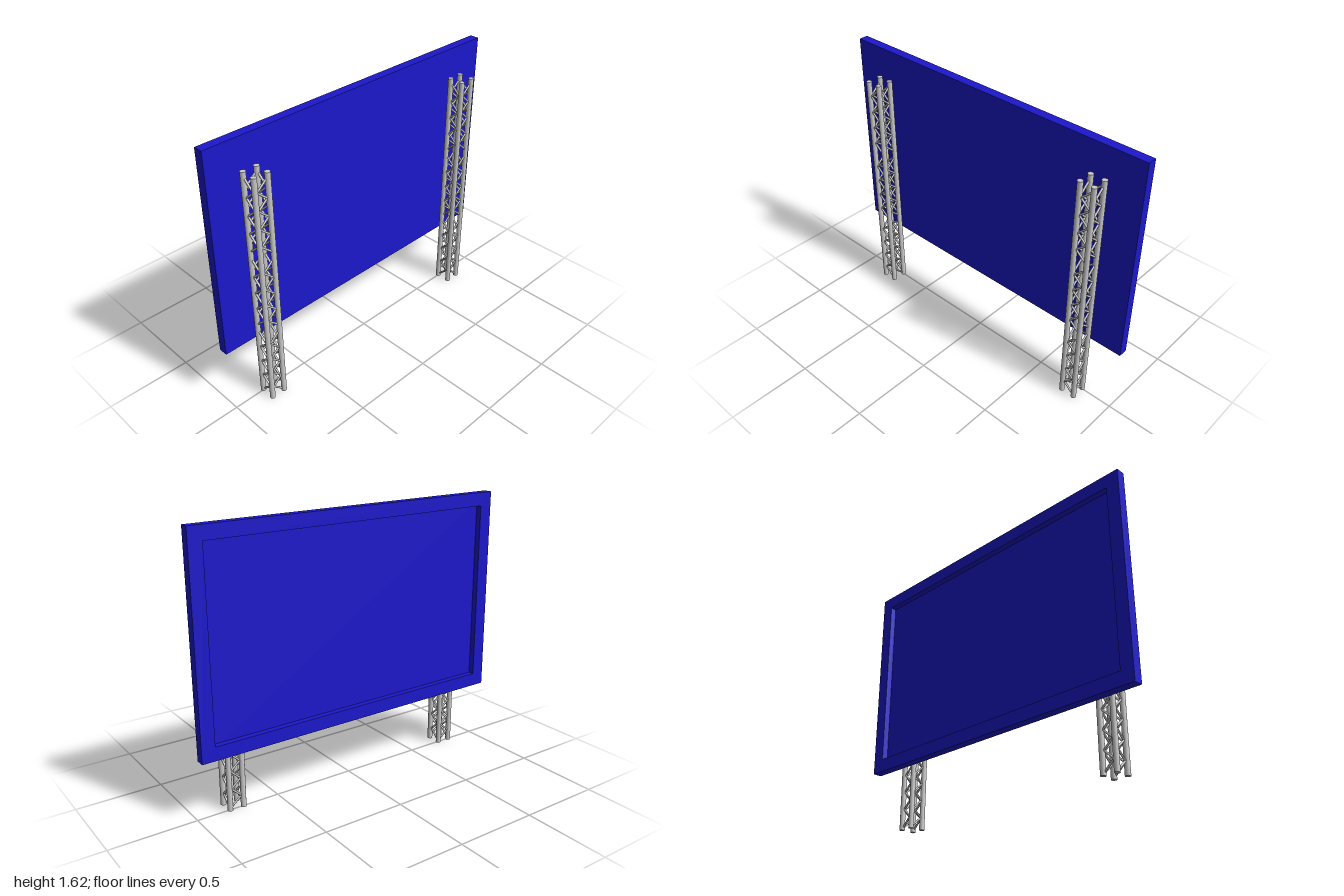
import * as THREE from 'three';

const metal = new THREE.MeshStandardMaterial({ color: 0xcccccc });
const blue = new THREE.MeshStandardMaterial({ color: 0x1c18cc });

const HALF = 0.0415;      // half spacing of the truss tubes
const TUBE_R = 0.0158;
const SEGMENT = 1.45 / 3; // each tower is three stacked truss sections

// Round bar between two points
function bar(name, a, b, radius, sides) {
  const dir = b.clone().sub(a);
  const mesh = new THREE.Mesh(new THREE.CylinderGeometry(radius, radius, dir.length(), sides), metal);
  mesh.name = name;
  mesh.position.copy(a).add(b).multiplyScalar(0.5);
  mesh.quaternion.setFromUnitVectors(new THREE.Vector3(0, 1, 0), dir.normalize());
  return mesh;
}

// One square truss section: four tubes and zigzag bracing on all four sides
function trussSection() {
  const section = new THREE.Group();
  section.name = 'trussSection';
  for (const x of [-HALF, HALF]) {
    for (const z of [-HALF, HALF]) {
      section.add(bar('trussTube', new THREE.Vector3(x, 0, z), new THREE.Vector3(x, SEGMENT, z), TUBE_R, 16));
    }
  }
  const steps = 8, start = 0.02, rise = 0.053, reach = HALF - 0.012;
  for (const side of [-HALF, HALF]) {
    for (let i = 0; i < steps; i++) {
      const s = i % 2 ? 1 : -1;
      const y0 = start + i * rise, y1 = y0 + rise;
      section.add(bar('braceAcross', new THREE.Vector3(s * reach, y0, side), new THREE.Vector3(-s * reach, y1, side), 0.006, 8));
      section.add(bar('braceAlong', new THREE.Vector3(side, y0, s * reach), new THREE.Vector3(side, y1, -s * reach), 0.006, 8));
    }
  }
  return section;
}

function rectangle(Path, w, h) {
  return new Path([[-w, -h], [w, -h], [w, h], [-w, h]].map(([x, y]) => new THREE.Vector2(x / 2, y / 2)));
}

// Screen panel with a raised border on its -x face
function panel() {
  const group = new THREE.Group();
  group.name = 'screenPanel';
  const w = 2, h = 1.24, border = 0.08, board = 0.019, rim = 0.036;

  const back = new THREE.Mesh(new THREE.BoxGeometry(board, h, w), blue);
  back.name = 'panelBoard';
  back.position.x = rim / 2;
  group.add(back);

  const shape = rectangle(THREE.Shape, w, h);
  shape.holes.push(rectangle(THREE.Path, w - 2 * border, h - 2 * border));
  const frame = new THREE.Mesh(new THREE.ExtrudeGeometry(shape, { depth: rim, bevelEnabled: false }), blue);
  frame.name = 'panelFrame';
  frame.rotation.y = -Math.PI / 2;
  frame.position.x = (rim - board) / 2;
  group.add(frame);

  // Hung very slightly out of true
  group.position.set(-0.066, 0.995, 0);
  group.rotation.set(-0.005, 0.005, 0);
  return group;
}

export function createModel() {
  const model = new THREE.Group();
  model.name = 'trussScreen';
  model.add(panel());

  for (const z of [-0.763, 0.763]) {
    const tower = new THREE.Group();
    tower.name = 'trussTower';
    for (let i = 0; i < 3; i++) {
      const section = trussSection();
      section.position.y = i * SEGMENT;
      tower.add(section);
    }
    tower.position.set(0.038, 0, z);
    model.add(tower);
  }
  return model;
}
